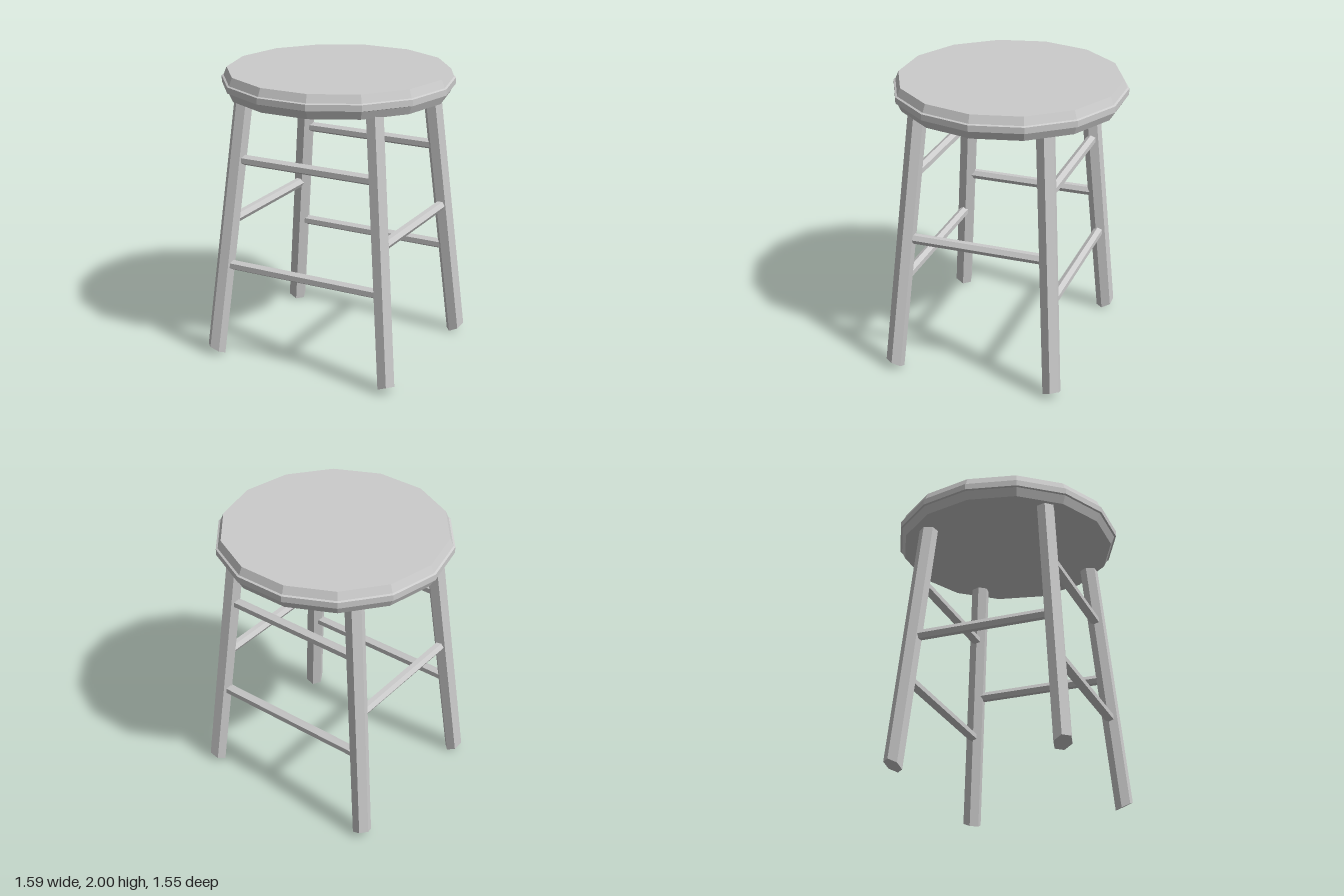
import * as THREE from 'three';

const material = new THREE.MeshStandardMaterial({ color: 0xcccccc, flatShading: true });

function addMesh(parent, name, geometry) {
  const mesh = new THREE.Mesh(geometry, material);
  mesh.name = name;
  parent.add(mesh);
  return mesh;
}

// Splayed leg centre lines: x and z at the foot and under the seat
const FOOT_Y = 0.03, TOP_Y = 1.87;
const legs = [
  { name: 'frontLeftLeg', foot: [0.682, 0.615], top: [0.503, 0.46], twist: -0.15 },
  { name: 'frontRightLeg', foot: [-0.647, 0.615], top: [-0.465, 0.46], twist: 0 },
  { name: 'backLeftLeg', foot: [0.686, -0.537], top: [0.503, -0.412], twist: 0 },
  { name: 'backRightLeg', foot: [-0.647, -0.537], top: [-0.465, -0.412], twist: 0 },
];

// Centre of a leg at height y
function legCentre(leg, y) {
  const t = (y - FOOT_Y) / (TOP_Y - FOOT_Y);
  return new THREE.Vector3(
    THREE.MathUtils.lerp(leg.foot[0], leg.top[0], t), y,
    THREE.MathUtils.lerp(leg.foot[1], leg.top[1], t));
}

// Six-sided leg with a flat facing outward and a foot cut at a slant
function legGeometry(leg) {
  const out = Math.atan2(leg.foot[0], leg.foot[1]);
  const geometry = new THREE.CylinderGeometry(0.065, 0.065, 1, 6);
  geometry.rotateY(out + Math.PI / 6 - leg.twist);
  const pos = geometry.attributes.position;
  for (let i = 0; i < pos.count; i++) {
    const x = pos.getX(i), z = pos.getZ(i);
    const outward = x * Math.sin(out) + z * Math.cos(out);
    const y = pos.getY(i) > 0 ? TOP_Y : FOOT_Y + 0.5 * outward;
    const c = legCentre(leg, y);
    pos.setXYZ(i, c.x + x, y, c.z + z);
  }
  geometry.computeVertexNormals();
  return geometry;
}

// Six-sided rung between two legs at height y
function addRung(parent, name, legA, legB, y, spin) {
  const a = legCentre(legA, y), b = legCentre(legB, y);
  const geometry = new THREE.CylinderGeometry(0.036, 0.036, a.distanceTo(b), 6);
  geometry.rotateY(spin);
  const rung = addMesh(parent, name, geometry);
  rung.position.copy(a).lerp(b, 0.5);
  rung.quaternion.setFromUnitVectors(new THREE.Vector3(0, 1, 0), b.sub(a).normalize());
}

export function createModel() {
  const stool = new THREE.Group();
  stool.name = 'stool';

  // Fourteen-sided seat with a raised band around its bevelled rim
  const profile = [[0, 1.837], [0.756, 1.837], [0.782, 1.893], [0.795, 1.898],
    [0.795, 1.94], [0.782, 1.946], [0.76, 2], [0, 2]].map(p => new THREE.Vector2(...p));
  addMesh(stool, 'seat', new THREE.LatheGeometry(profile, 14, Math.PI / 2));

  for (const leg of legs) addMesh(stool, leg.name, legGeometry(leg));

  // Two rungs at front and back, one on each side
  const [fl, fr, bl, br] = legs;
  for (const [level, y] of [['upper', 1.418], ['lower', 0.667]]) {
    addRung(stool, level + 'FrontRung', fr, fl, y, Math.PI / 6);
    addRung(stool, level + 'BackRung', br, bl, y, Math.PI / 6);
  }
  addRung(stool, 'leftRung', bl, fl, 0.98, Math.PI / 6);
  addRung(stool, 'rightRung', br, fr, 0.98, Math.PI / 6);

  return stool;
}
